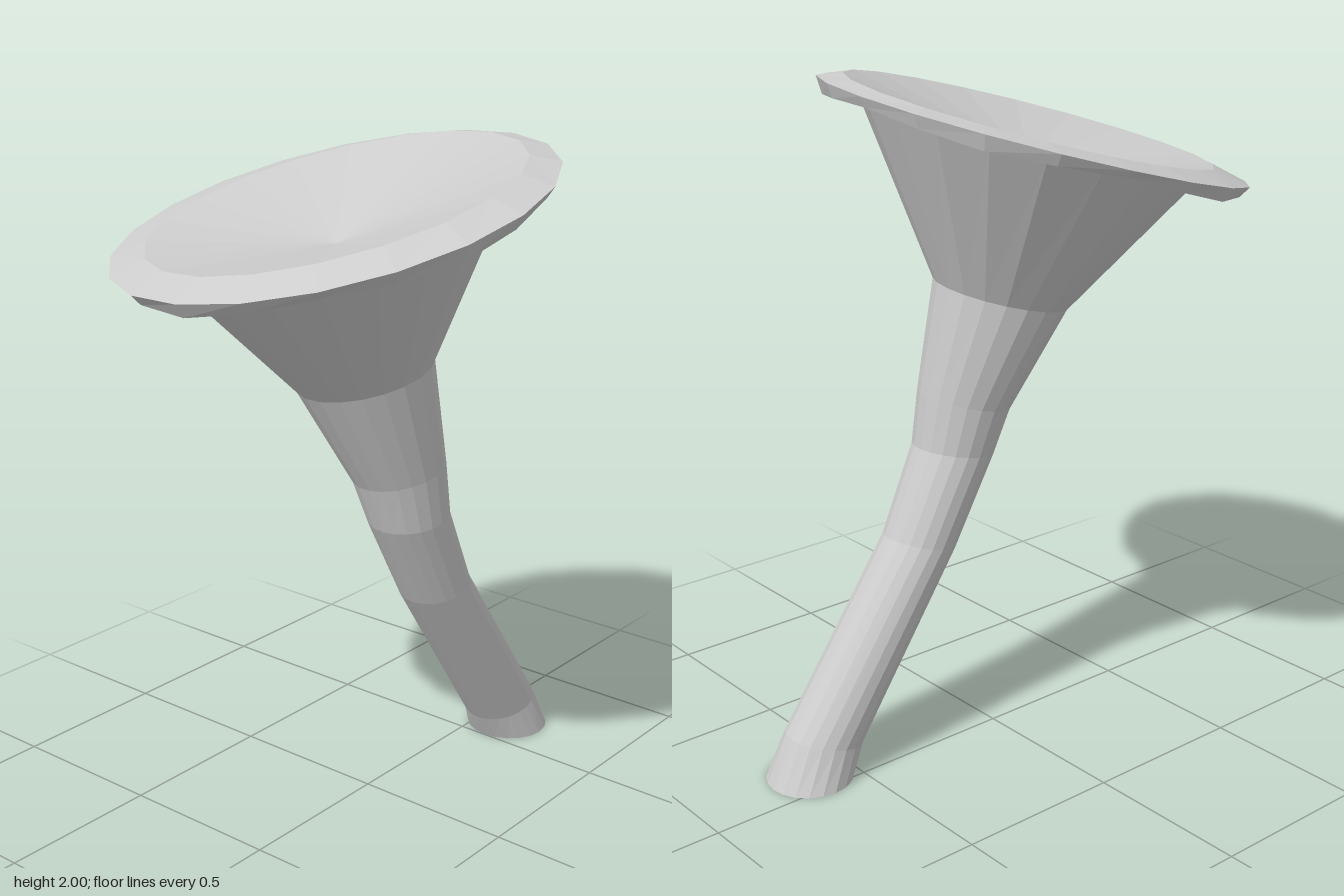
import * as THREE from 'three';

const SIDES = 20;

// Each section: centre x, y, z, radius x, radius z, rise towards +x, rise towards +z, waviness
const BASE = [0.63, 0, 0.09, 0.128, 0.131, 0, 0, 0];
const NECK = [-0.062, 1.36, 0.04, 0.195, 0.2, 0.043, 0.02, 0];
const BELL_TOP = [-0.148, 1.805, 0, 0.49, 0.475, 0.108, 0.04, 0];
const LIP = [-0.145, 1.795, 0, 0.585, 0.6, 0.145, 0.055, 0.01];
const RIM = [-0.152, 1.83, 0, 0.605, 0.625, 0.15, 0.06, 0];
const FOLD = [-0.14, 1.86, 0, 0.53, 0.52, 0.125, 0.06, 0];
const HOLLOW = [-0.14, 1.735, 0, 0, 0, 0, 0, 0];

const STEM = [
  BASE,
  [0.575, 0.11, 0.092, 0.115, 0.113, 0.03, 0, 0],
  [0.21, 0.638, 0.092, 0.106, 0.113, 0.028, 0, 0],
  [0.08, 0.9, 0.09, 0.121, 0.125, 0.02, 0, 0],
  [0.045, 1.05, 0.08, 0.136, 0.14, 0.03, 0.01, 0],
  NECK,
];

// Skin a surface over tilted elliptical sections, listed from the base upwards
function skin(name, sections, material) {
  const positions = [];
  const index = [];
  sections.forEach(([cx, cy, cz, rx, rz, riseX, riseZ, wave], row) => {
    for (let i = 0; i < SIDES; i++) {
      const t = (i / SIDES) * Math.PI * 2;
      const c = Math.cos(t);
      const s = Math.sin(t);
      positions.push(cx + rx * c, cy + riseX * c + riseZ * s + wave * Math.cos(5 * t), cz + rz * s);
      if (row === 0) continue;
      const j = (i + 1) % SIDES;
      const low = (row - 1) * SIDES;
      const high = row * SIDES;
      index.push(low + i, high + i, low + j);
      if (rx > 0) index.push(high + i, high + j, low + j);
    }
  });
  const geometry = new THREE.BufferGeometry();
  geometry.setAttribute('position', new THREE.Float32BufferAttribute(positions, 3));
  geometry.setIndex(index);
  geometry.computeVertexNormals();
  const mesh = new THREE.Mesh(geometry, material);
  mesh.name = name;
  return mesh;
}

export function createModel() {
  const material = new THREE.MeshStandardMaterial({
    color: 0xcccccc,
    flatShading: true,
    side: THREE.DoubleSide,
  });
  const group = new THREE.Group();
  group.name = 'mushroom';
  group.add(
    skin('stem', STEM, material), // bent, open at the bottom
    skin('funnel', [NECK, BELL_TOP], material),
    skin('capRim', [BELL_TOP, LIP, RIM, FOLD], material), // overhanging edge, folded upwards inside
    skin('capHollow', [FOLD, HOLLOW], material), // shallow dish on top
  );
  return group;
}
